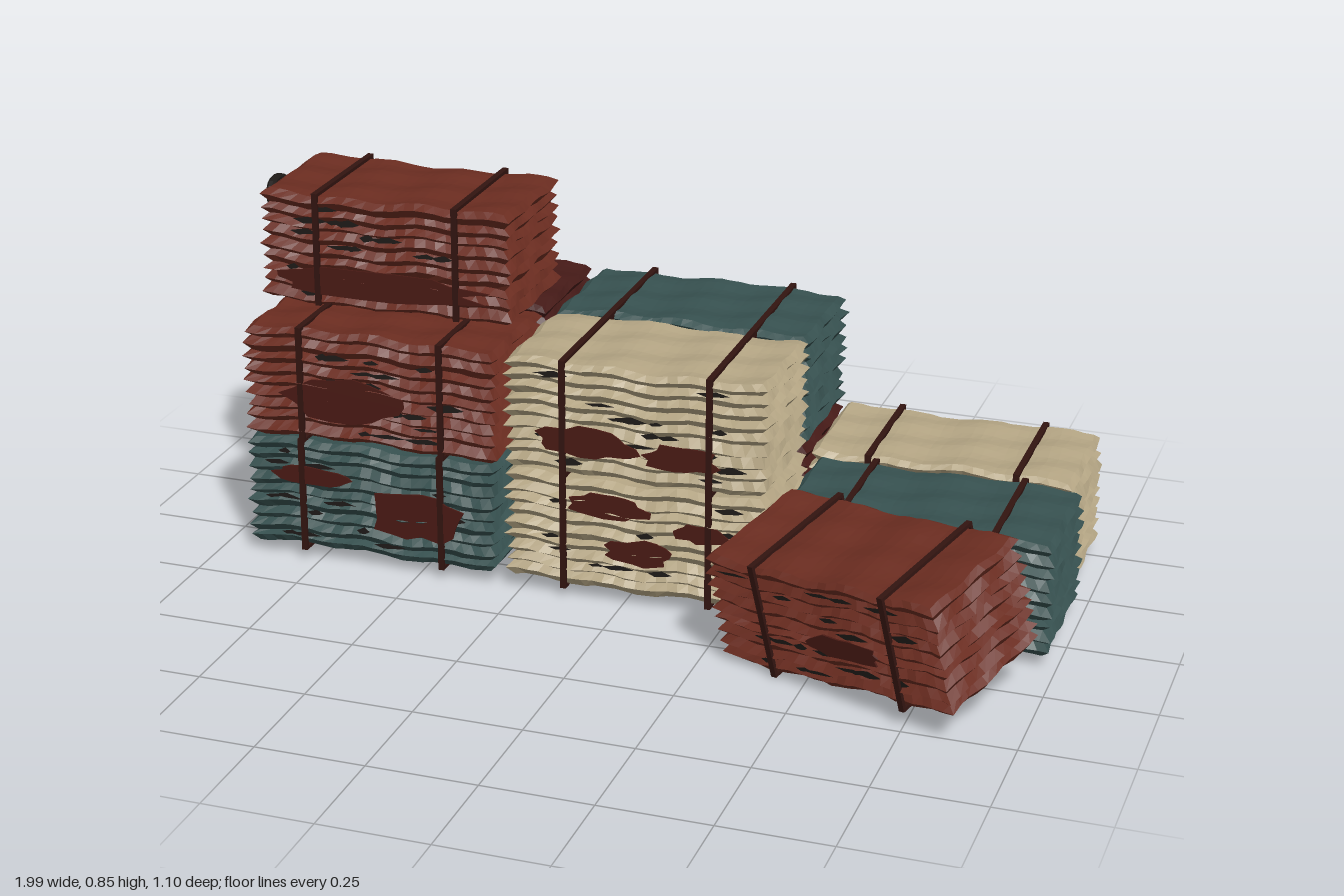
import * as THREE from 'three';
import { mergeGeometries } from 'three/addons/utils/BufferGeometryUtils.js';

const W = 0.6, H = 0.265, D = 0.305, LAYERS = 9;
const RED = 0x6a2c20, DARK = 0x451a17, TEAL = 0x36504f, CREAM = 0xb3a483;

function seeded(seed) {
  let s = seed * 7919 + 17;
  return () => (s = (s * 16807) % 2147483647) / 2147483647;
}

const material = (color) => new THREE.MeshStandardMaterial({ color, flatShading: true, side: THREE.DoubleSide });

function addMesh(parent, geometry, mat, name) {
  const mesh = new THREE.Mesh(geometry, mat);
  mesh.name = name;
  parent.add(mesh);
  return mesh;
}

// Pressed block of rippled sheets: ridges and grooves alternate up the sides
function bodyGeometry(rand) {
  const rows = LAYERS * 2;
  const geo = new THREE.BoxGeometry(W, H, D, 24, rows, 10);
  const out = [], lift = [];
  for (let j = 0; j <= rows; j++) {
    out.push(j % 2 ? 0.005 + rand() * 0.006 : -0.005 - rand() * 0.004);
    lift.push(j === 0 || j === rows ? 0 : (rand() - 0.5) * 0.009);
  }
  const phase = rand() * 6.28;
  const p = geo.attributes.position;
  for (let i = 0; i < p.count; i++) {
    const x = p.getX(i), y = p.getY(i), z = p.getZ(i);
    const row = Math.round((y / H + 0.5) * rows);
    const chip = Math.sin(x * 71 + row * 2.7 + phase) * Math.sin(x * 37 - row * 1.9);
    const wave = 0.004 * Math.sin(x * 34 + phase) + 0.003 * Math.sin(z * 47 + x * 13 + phase);
    const edge = out[row] + 0.004 * chip;
    p.setXYZ(i,
      x + (x / W) * 2 * (out[row] * 1.1 + 0.003 * Math.sin(z * 40 + row)),
      y + lift[row] + wave,
      z + (z / D) * 2 * edge);
  }
  geo.computeVertexNormals();
  return geo;
}

// Square band around the bale
function strapGeometry() {
  const a = D / 2 + 0.012, b = H / 2 + 0.008, t = 0.008;
  const rect = (Type, u, v) => {
    const s = new Type();
    s.moveTo(-u, -v); s.lineTo(u, -v); s.lineTo(u, v); s.lineTo(-u, v); s.closePath();
    return s;
  };
  const shape = rect(THREE.Shape, a, b);
  shape.holes.push(rect(THREE.Path, a - t, b - t));
  const geo = new THREE.ExtrudeGeometry(shape, { depth: 0.014, bevelEnabled: false });
  return geo.translate(0, 0, -0.007).rotateY(Math.PI / 2);
}

// Short dark slits between sheets, on the long sides
function slitGeometry(rand) {
  const parts = [];
  for (let i = 0; i < 36; i++) {
    const side = i % 2 ? 1 : -1;
    const w = 0.03 + rand() * 0.07, h = 0.004 + rand() * 0.007;
    const row = Math.floor(rand() * (LAYERS - 1)) + 1;
    const shape = new THREE.Shape([
      new THREE.Vector2(-w / 2, 0), new THREE.Vector2(-w * 0.2, -h), new THREE.Vector2(w * 0.3, -h * 0.5),
      new THREE.Vector2(w / 2, 0), new THREE.Vector2(w * 0.1, h)]);
    parts.push(new THREE.ShapeGeometry(shape).translate(
      (rand() - 0.5) * (W - 0.12), (row / LAYERS - 0.5) * H, side * (D / 2 + 0.005)));
  }
  return mergeGeometries(parts);
}

// Ragged rust stain
function patchGeometry(w, h, rand) {
  const pts = [];
  for (let i = 0; i < 18; i++) {
    const a = (i / 18) * Math.PI * 2, r = 0.72 + rand() * 0.35;
    pts.push(new THREE.Vector2(Math.cos(a) * r * w / 2, Math.sin(a) * r * h / 2));
  }
  return new THREE.ExtrudeGeometry(new THREE.Shape(pts), { depth: 0.004, bevelEnabled: false });
}

export function createModel() {
  const model = new THREE.Group();
  model.name = 'scrapBales';
  const mats = {};
  for (const c of [RED, DARK, TEAL, CREAM]) mats[c] = material(c);
  const rust = material(0x4a1a14), strapMat = material(0x321410), slitMat = material(0x1e1a18);
  const strap = strapGeometry();

  // name, colour, centre, stains on the front [x, y, width, height]
  const bales = [
    ['frontLeftLowerBale', TEAL, [-0.615, 0.17, -0.04], [[-0.15, 0.05, 0.2, 0.05], [0.11, -0.015, 0.26, 0.14]]],
    ['frontLeftUpperBale', RED, [-0.61, 0.445, -0.04], [[-0.07, -0.025, 0.32, 0.11]]],
    ['backLeftLowerBale', RED, [-0.61, 0.17, -0.37], []],
    ['backLeftUpperBale', DARK, [-0.605, 0.445, -0.37], []],
    ['topBale', RED, [-0.635, 0.71, -0.21], [[-0.02, -0.07, 0.56, 0.08]]],
    ['frontMiddleLowerBale', CREAM, [0.03, 0.17, -0.04],
      [[-0.06, 0.075, 0.2, 0.08], [0.16, 0.04, 0.15, 0.05], [0.01, -0.03, 0.17, 0.07]]],
    ['frontMiddleUpperBale', CREAM, [0.03, 0.445, -0.04], [[-0.11, -0.05, 0.25, 0.08], [0.11, -0.06, 0.2, 0.07]]],
    ['backMiddleLowerBale', DARK, [0.03, 0.17, -0.37], []],
    ['backMiddleUpperBale', TEAL, [0.03, 0.445, -0.37], []],
    ['frontRightBale', TEAL, [0.675, 0.17, -0.035], [[0.1, 0.02, 0.24, 0.1]]],
    ['backRightBale', CREAM, [0.65, 0.17, -0.375], []],
    ['fallenBale', RED, [0.62, 0.192, 0.283], [[0.05, -0.02, 0.2, 0.06]]],
  ];

  bales.forEach(([name, color, pos, stains], n) => {
    const rand = seeded(n + 3);
    const bale = new THREE.Group();
    bale.name = name;
    bale.position.set(...pos);
    addMesh(bale, bodyGeometry(rand), mats[color], 'pressedSheets');
    addMesh(bale, slitGeometry(rand), slitMat, 'sheetGaps');
    for (const x of [-0.17, 0.175]) addMesh(bale, strap, strapMat, 'strap').position.x = x;
    for (const [x, y, w, h] of stains)
      addMesh(bale, patchGeometry(w, h, rand), rust, 'rustStain').position.set(x, y, D / 2 + 0.007);
    // The loose bale leans on the stack
    if (name === 'fallenBale') bale.rotation.set(0.2, -0.39, 0.1, 'YZX');
    model.add(bale);
  });

  // Wire ring hanging on the end of the top bale
  const ring = addMesh(model, new THREE.TorusGeometry(0.062, 0.011, 8, 28).rotateY(Math.PI / 2), slitMat, 'wireRing');
  ring.position.set(-0.965, 0.755, -0.23);
  ring.rotation.z = 0.38;
  const inner = addMesh(model, new THREE.TorusGeometry(0.056, 0.008, 8, 28).rotateY(Math.PI / 2), slitMat, 'innerWireRing');
  inner.position.set(-0.952, 0.75, -0.235);
  inner.rotation.z = 0.3;
  return model;
}
